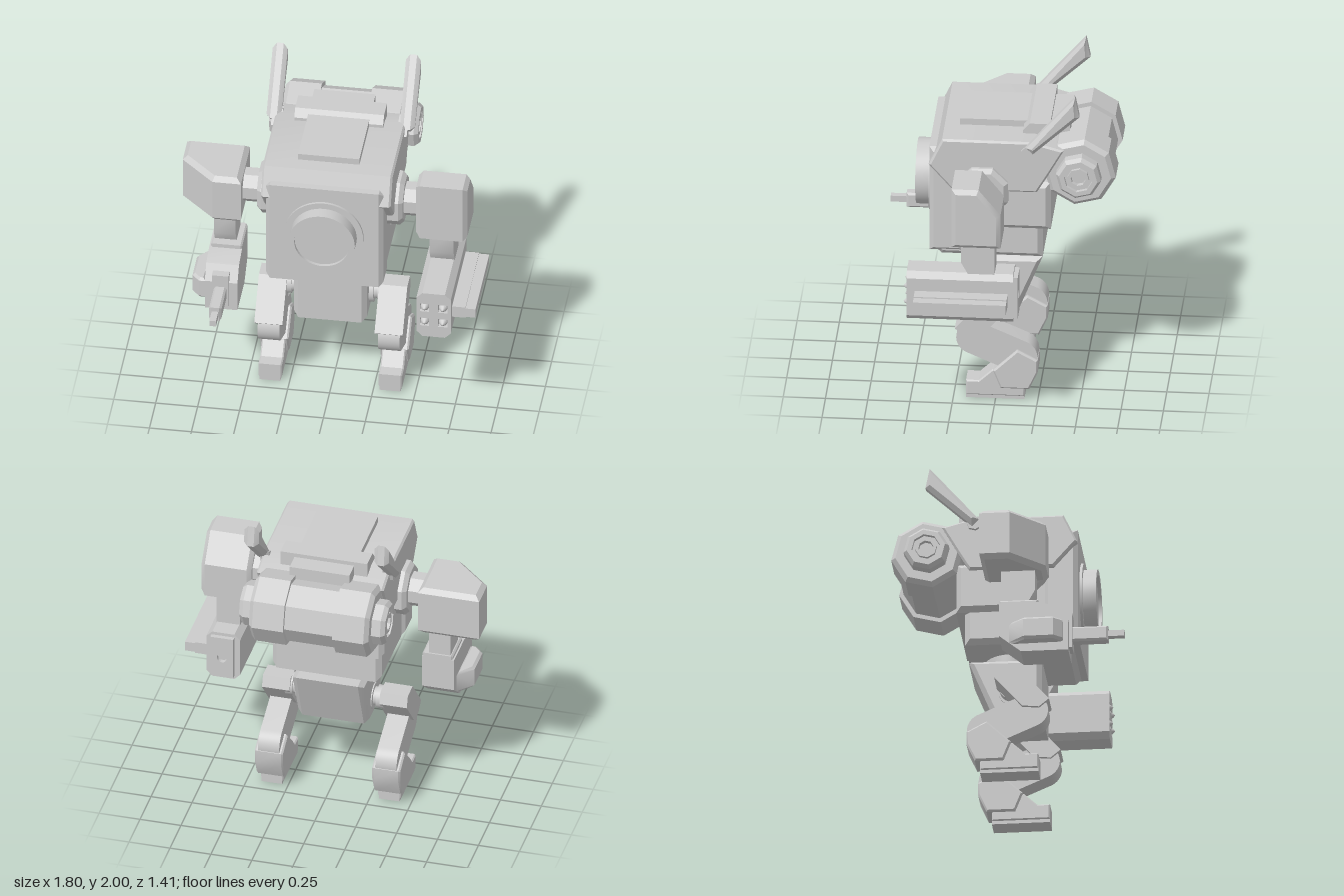
import * as THREE from 'three';
import { toCreasedNormals } from 'three/addons/utils/BufferGeometryUtils.js';

const material = new THREE.MeshStandardMaterial({ color: 0xcccccc });

function add(parent, name, geometry) {
  const mesh = new THREE.Mesh(toCreasedNormals(geometry, 0.5), material);
  mesh.name = name;
  parent.add(mesh);
  return mesh;
}

// Extrudes an outline from a to b along an axis.
// Outline points are (z,y) for axis x, (x,z) for axis y and (x,y) for axis z.
function prism(parent, name, axis, outline, a, b, bevel = 0, holes = []) {
  const shape = outline instanceof THREE.Shape ? outline
    : new THREE.Shape(outline.map(([u, v]) => new THREE.Vector2(u, v)));
  shape.holes.push(...holes);
  const geo = new THREE.ExtrudeGeometry(shape, {
    depth: b - a - 2 * bevel, curveSegments: 14, bevelEnabled: bevel > 0,
    bevelSize: bevel, bevelThickness: bevel, bevelOffset: -bevel, bevelSegments: 1,
  });
  geo.translate(0, 0, bevel);
  if (axis === 'x') geo.rotateY(-Math.PI / 2).translate(b, 0, 0);
  if (axis === 'y') geo.rotateX(Math.PI / 2).translate(0, b, 0);
  if (axis === 'z') geo.translate(0, 0, a);
  return add(parent, name, geo);
}

// Box from min and max corners, with chamfered edges
function block(parent, name, x0, x1, y0, y1, z0, z1, bevel = 0) {
  return prism(parent, name, 'x', [[z0, y0], [z1, y0], [z1, y1], [z0, y1]], x0, x1, bevel);
}

// Turned part: profile of [radius, distance], pointing along x, -x, y or z
function turned(parent, name, dir, profile, sides, [x, y, z], turn = 0) {
  const geo = new THREE.LatheGeometry(profile.map(([r, t]) => new THREE.Vector2(r, t)), sides, turn);
  if (dir === 'x') geo.rotateZ(-Math.PI / 2);
  if (dir === '-x') geo.rotateZ(Math.PI / 2);
  if (dir === 'z') geo.rotateX(Math.PI / 2);
  return add(parent, name, geo.translate(x, y, z));
}

const rod = (r, a, b) => [[0, a], [r, a], [r, b], [0, b]];
const OCT = Math.PI / 8;

function group(parent, name) {
  const g = new THREE.Group();
  g.name = name;
  parent.add(g);
  return g;
}

function buildTorso(root) {
  const g = group(root, 'torso');
  prism(g, 'lowerHull', 'x', [[0.36, 0.92], [0.33, 0.89], [-0.27, 0.89], [-0.27, 1.4], [0.36, 1.4]], -0.34, 0.325, 0.03);
  block(g, 'backHull', -0.37, 0.36, 1.09, 1.4, -0.32, 0, 0.03);
  block(g, 'frontPanel', -0.36, 0.34, 0.92, 1.6, 0.2, 0.4, 0.025);
  prism(g, 'upperArmour', 'x', [[0.32, 1.68], [0.4, 1.51], [0.26, 1.35], [-0.24, 1.35], [-0.3, 1.45], [-0.4, 1.63], [-0.22, 1.68]], -0.39, 0.385, 0.012);
  // Roof plates
  block(g, 'roofPlate', -0.19, 0.175, 1.64, 1.72, -0.42, 0.23);
  prism(g, 'roofCrossbar', 'x', [[-0.15, 1.64], [-0.15, 1.7], [-0.19, 1.745], [-0.31, 1.745], [-0.31, 1.64]], -0.27, 0.26);
  // Round window with a raised rim
  turned(g, 'frontWindow', 'z', [[0.235, 0.36], [0.235, 0.415], [0.197, 0.415], [0.197, 0.495], [0.165, 0.495], [0.165, 0.475], [0, 0.475]], 48, [-0.01, 1.275, 0]);
  turned(g, 'waist', 'y', rod(0.165, 0.8, 0.93), 32, [0, 0, -0.02]);

  // Rear drum
  const c = [-0.01, 1.475, -0.49], tilt = 8 * Math.PI / 180;
  turned(g, 'drumCore', 'x', rod(0.19, -0.2, 0.2), 8, c, -tilt);
  for (const s of [-1, 1]) {
    const dir = s > 0 ? 'x' : '-x', turn = -s * tilt;
    turned(g, 'drumEnd', dir, [[0, 0.15], [0.217, 0.15], [0.217, 0.34], [0.19, 0.365], [0, 0.365]], 8, c, turn);
    turned(g, 'drumCap', dir, [[0.135, 0.34], [0.135, 0.42], [0.115, 0.445], [0.085, 0.445], [0.085, 0.42],
      [0.065, 0.42], [0.065, 0.44], [0.045, 0.44], [0.045, 0.41], [0, 0.41]], 8, c, turn);
    // Swept-back antennas
    const lo = s > 0 ? 0.35 : -0.445;
    prism(g, 'antenna', 'x', [[-0.18, 1.66], [-0.22, 1.62], [-0.495, 1.875], [-0.47, 2]], lo, lo + 0.09, 0.025);
    prism(g, 'antennaFoot', 'x', [[-0.15, 1.63], [-0.18, 1.66], [-0.27, 1.7], [-0.24, 1.61], [-0.2, 1.6]], s > 0 ? 0.34 : -0.41, s > 0 ? 0.4 : -0.35);
    // Shoulder joints
    turned(g, 'shoulderDisc', dir, [[0, 0.3], [0.165, 0.3], [0.165, 0.41], [0.14, 0.435], [0, 0.435]], 8, [-0.005, 1.355, 0.08], OCT);
    turned(g, 'shoulderShaft', dir, rod(0.103, 0.3, 0.58), 8, [0, 1.355, 0.08], OCT);
  }
}

const upperArm = [[-0.02, 1.22], [0.18, 1.22], [0.18, 1.05], [0.12, 0.94], [-0.02, 0.94]];

function buildLeftArm(root) {
  const g = group(root, 'leftArm');
  prism(g, 'leftShoulder', 'x', [[0.23, 1.18], [0.23, 1.56], [0.07, 1.56], [-0.06, 1.4], [-0.06, 1.18]], 0.51, 0.815, 0.025);
  prism(g, 'leftUpperArm', 'x', upperArm, 0.585, 0.73);
  // Launcher body with chamfered section
  const x0 = 0.555, x1 = 0.76, y0 = 0.667, y1 = 0.98, k = 0.035;
  const section = [[x0 + k, y0], [x1 - k, y0], [x1, y0 + k], [x1, y1 - k], [x1 - k, y1], [x0 + k, y1], [x0, y1 - k], [x0, y0 + k]];
  prism(g, 'launcher', 'z', section, -0.13, 0.46);
  const holes = [];
  for (const x of [0.603, 0.712]) for (const y of [0.772, 0.875]) {
    const h = 0.028;
    holes.push(new THREE.Path([[x - h, y - h], [x - h, y + h], [x + h, y + h], [x + h, y - h]].map(p => new THREE.Vector2(...p))));
    turned(g, 'rocketTip', 'z', [[0.027, 0.45], [0.025, 0.49], [0.012, 0.51], [0, 0.52]], 16, [x, y, 0]);
  }
  prism(g, 'launcherFront', 'z', section, 0.46, 0.5, 0, holes);
  // Rear frame with a round vent
  const vent = new THREE.Path().absarc(0.66, 0.82, 0.03, 0, Math.PI * 2, true);
  prism(g, 'launcherRear', 'z', [[0.59, 0.69], [0.73, 0.69], [0.73, 0.96], [0.59, 0.96]], -0.157, -0.12, 0, [vent]);
  // Side rail
  block(g, 'sideRail', 0.74, 0.84, 0.79, 0.865, -0.1, 0.45);
  block(g, 'sideRailEdge', 0.83, 0.9, 0.797, 0.858, -0.1, 0.45);
}

function buildRightArm(root) {
  const g = group(root, 'rightArm');
  prism(g, 'rightShoulder', 'y', [[-0.905, -0.13], [-0.53, -0.13], [-0.53, 0.245], [-0.7, 0.245], [-0.905, 0.05]], 1.18, 1.497, 0.028);
  prism(g, 'rightUpperArm', 'x', upperArm, -0.7, -0.57);
  prism(g, 'gunBody', 'x', [[-0.03, 0.75], [-0.03, 0.96], [0.2, 0.96], [0.32, 0.93], [0.38, 0.84], [0.38, 0.645], [0.1, 0.645]], -0.725, -0.53);
  block(g, 'gunElbow', -0.715, -0.53, 0.93, 0.985, -0.03, 0.2, 0.01);
  prism(g, 'gunSidePod', 'y', [[-0.725, 0.03], [-0.81, 0.12], [-0.81, 0.3], [-0.765, 0.35], [-0.725, 0.35]], 0.69, 0.83, 0.015);
  // Barrel steps
  block(g, 'barrelPlate', -0.68, -0.58, 0.68, 0.9, 0.35, 0.4);
  block(g, 'barrel', -0.667, -0.593, 0.727, 0.82, 0.38, 0.61, 0.012);
  block(g, 'muzzle', -0.65, -0.61, 0.755, 0.793, 0.6, 0.705);
}

// Capsule outline for the shin, between two (z,y) centres
function capsule(a, b, r) {
  const t = Math.atan2(b[1] - a[1], b[0] - a[0]), q = Math.PI / 2;
  const shape = new THREE.Shape();
  shape.absarc(a[0], a[1], r, t + q, t + 3 * q, false);
  shape.absarc(b[0], b[1], r, t - q, t + q, false);
  shape.closePath();
  return shape;
}

function buildLegs(root) {
  prism(root, 'pelvis', 'x', [[0.175, 0.83], [-0.26, 0.83], [-0.12, 0.48], [0.175, 0.48]], -0.228, 0.208, 0.03);
  for (const s of [-1, 1]) {
    const g = group(root, s > 0 ? 'leftLeg' : 'rightLeg');
    const cx = s > 0 ? 0.35 : -0.367;
    const part = (name, outline, width, bevel = 0) => prism(g, name, 'x', outline, cx - width / 2, cx + width / 2, bevel);
    turned(g, 'hipJoint', s > 0 ? 'x' : '-x', [[0, 0.15], [0.08, 0.15], [0.08, 0.235], [0.055, 0.235], [0.055, 0.255], [0.07, 0.255], [0.07, 0.3], [0, 0.3]], 24, [0, 0.61, 0]);
    part('thigh', [[0.24, 0.46], [0.05, 0.68], [-0.06, 0.68], [-0.085, 0.61], [0.08, 0.42], [0.18, 0.41]], 0.168);
    part('shin', capsule([0.125, 0.395], [-0.14, 0.28], 0.108), 0.13);
    part('ankleGuard', [[0.015, 0.19], [-0.13, 0.33], [-0.25, 0.265], [-0.25, 0.185], [-0.2, 0.075], [-0.03, 0.075]], 0.172, 0.01);
    part('foot', [[0.175, 0.02], [0.175, 0.115], [0.1, 0.115], [0.02, 0.19], [-0.1, 0.19], [-0.17, 0.08], [-0.17, 0.02]], 0.14, 0.008);
    part('sole', [[0.175, 0], [0.175, 0.03], [-0.17, 0.03], [-0.17, 0]], 0.125);
  }
}

export function createModel() {
  const root = new THREE.Group();
  root.name = 'walkerRobot';
  buildTorso(root);
  buildLeftArm(root);
  buildRightArm(root);
  buildLegs(root);
  return root;
}
